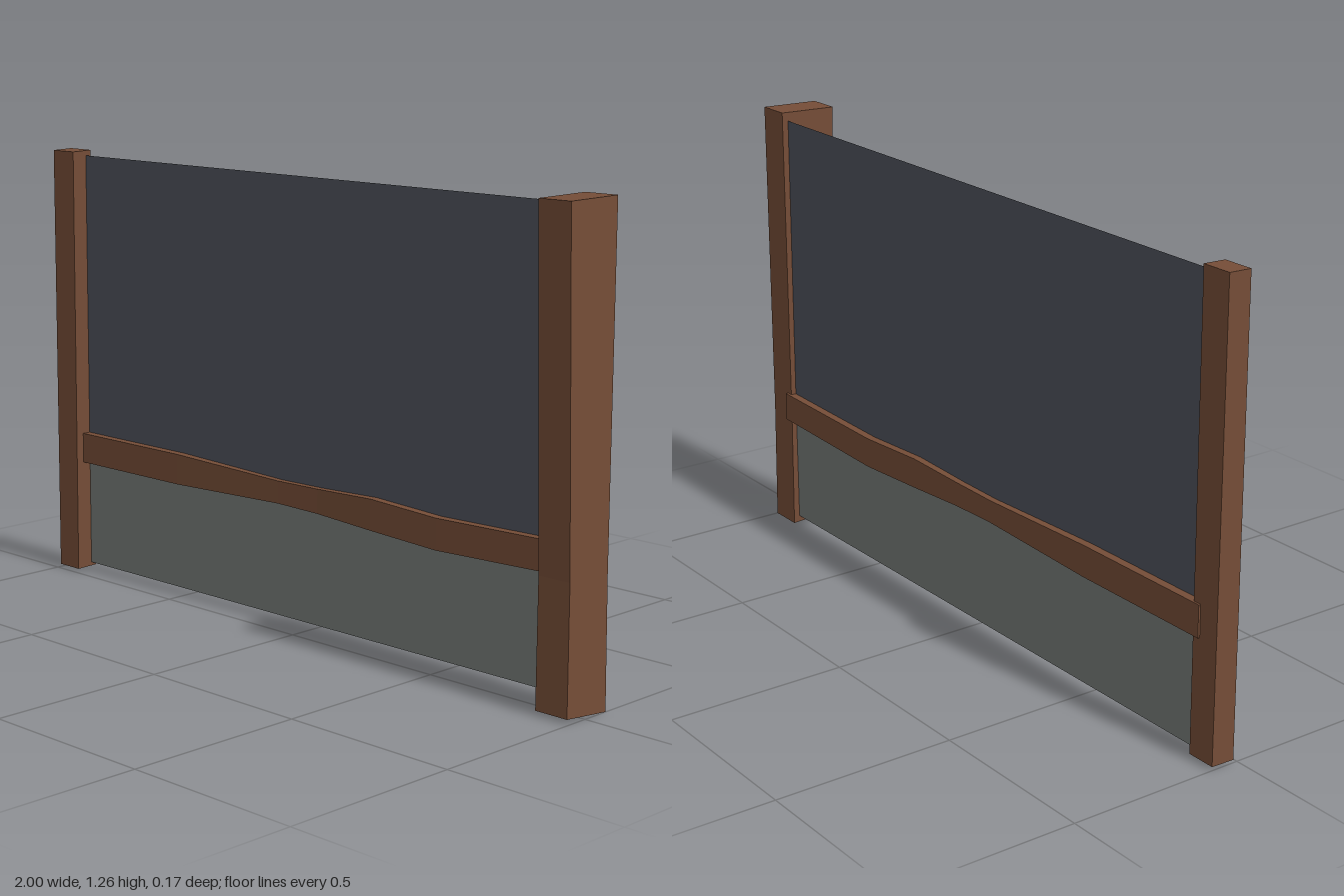
import * as THREE from 'three';

const wood = new THREE.MeshStandardMaterial({ color: 0x754d37, flatShading: true, side: THREE.DoubleSide });
wood.name = 'brown wood';
const slate = new THREE.MeshStandardMaterial({ color: 0x4e525b, side: THREE.DoubleSide });
slate.name = 'dark slate';
const stone = new THREE.MeshStandardMaterial({ color: 0x757a77, side: THREE.DoubleSide });
stone.name = 'grey stone';

// Skin a list of four-cornered rings, with optional end caps
function loftBeam(rings, capStart, capEnd) {
  const pos = [];
  const quad = (a, b, c, d) => pos.push(...a, ...b, ...c, ...a, ...c, ...d);
  for (let r = 0; r < rings.length - 1; r++) {
    const lo = rings[r], hi = rings[r + 1];
    for (let i = 0; i < 4; i++) {
      const j = (i + 1) % 4;
      quad(lo[i], lo[j], hi[j], hi[i]);
    }
  }
  const s = rings[0], e = rings[rings.length - 1];
  if (capStart) quad(s[3], s[2], s[1], s[0]);
  if (capEnd) quad(e[0], e[1], e[2], e[3]);
  const geo = new THREE.BufferGeometry();
  geo.setAttribute('position', new THREE.Float32BufferAttribute(pos, 3));
  geo.computeVertexNormals();
  return geo;
}

// Horizontal ring of a post; the front edge may be shifted in x and y
const postRing = (x0, x1, zBack, zFront, yBack, yFront, shift = 0) => [
  [x0 + shift, yFront, zFront], [x1 + shift, yFront, zFront],
  [x1, yBack, zBack], [x0, yBack, zBack],
];

function addMesh(group, name, geometry, material) {
  const mesh = new THREE.Mesh(geometry, material);
  mesh.name = name;
  group.add(mesh);
  return mesh;
}

export function createModel() {
  const model = new THREE.Group();
  model.name = 'wallSection';

  // Posts: slightly crooked, open underneath
  addMesh(model, 'thickPost', loftBeam([
    postRing(0.902, 1.0, -0.08, 0.062, 0.0, 0.012, -0.006),
    postRing(0.902, 0.998, -0.077, 0.06, 0.35, 0.35, -0.006),
    postRing(0.9, 0.997, -0.08, 0.085, 1.26, 1.257, -0.007),
  ], false, true), wood);
  addMesh(model, 'thinPost', loftBeam([
    postRing(-1.0, -0.917, -0.08, -0.012, 0.01, 0.008),
    postRing(-1.0, -0.912, -0.08, -0.015, 1.25, 1.248),
  ], false, true), wood);

  // Wavy rail: x, bottom y, top y, back z, front z
  const stations = [
    [-0.94, 0.33, 0.417, -0.086, -0.037],
    [-0.5, 0.33, 0.417, -0.085, -0.037],
    [-0.1, 0.341, 0.404, -0.081, -0.043],
    [0.05, 0.338, 0.406, -0.081, -0.043],
    [0.25, 0.328, 0.413, -0.084, -0.038],
    [0.48, 0.317, 0.402, -0.085, -0.037],
    [0.92, 0.33, 0.411, -0.085, -0.037],
  ];
  addMesh(model, 'rail', loftBeam(stations.map(([x, y0, y1, zb, zf]) => [
    [x, y0, zf], [x, y0, zb], [x, y1, zb], [x, y1, zf],
  ]), true, true), wood);

  // Thin infill panels above and below the rail
  const panel = (name, y0, y1, material) => {
    const mesh = addMesh(model, name, new THREE.PlaneGeometry(1.88, y1 - y0), material);
    mesh.position.set(0, (y0 + y1) / 2, -0.062);
  };
  panel('upperPanel', 0.37, 1.235, slate);
  panel('lowerPanel', 0.02, 0.37, stone);

  return model;
}
